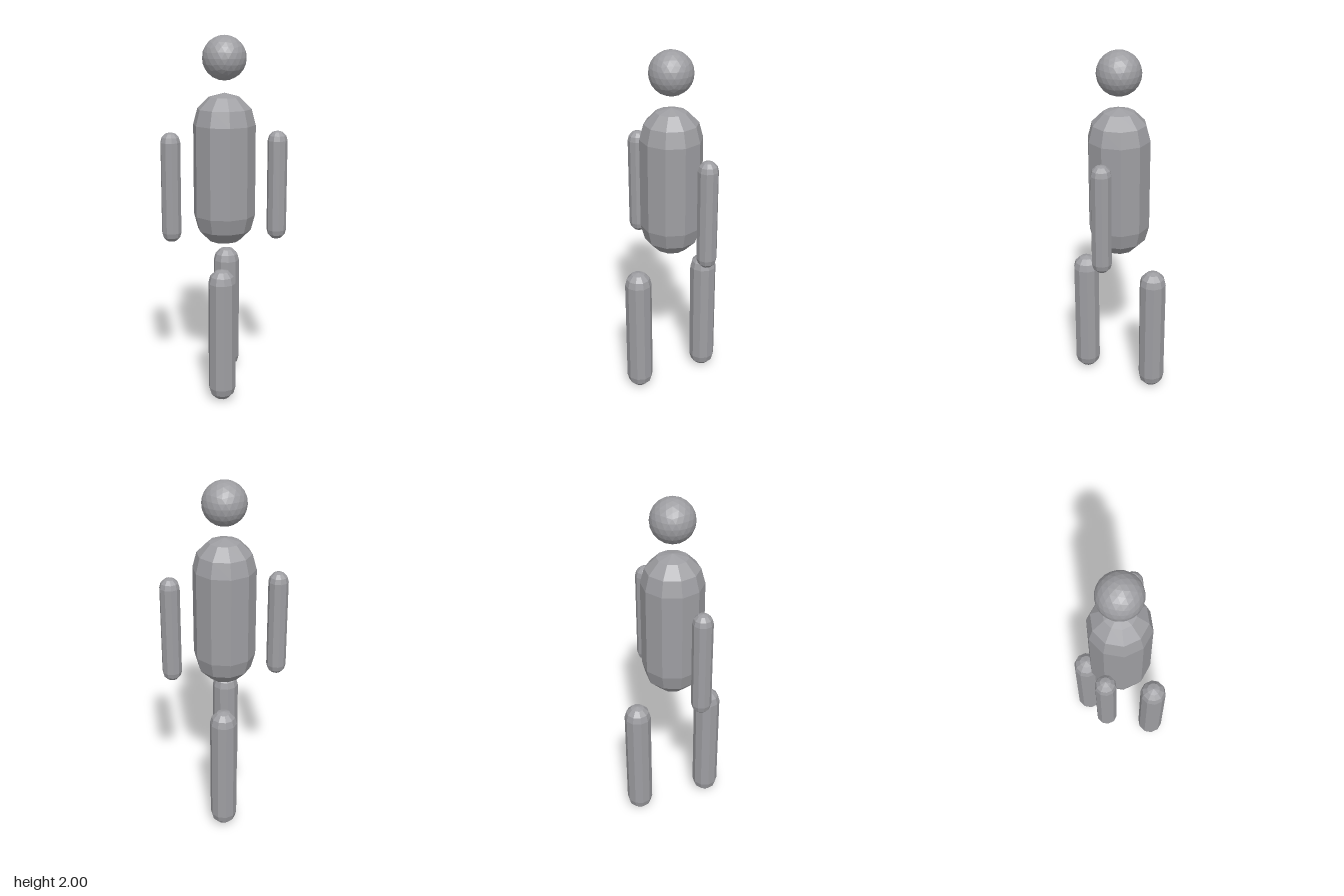
import * as THREE from 'three';

export function createModel() {
  const model = new THREE.Group();
  model.name = 'walkingFigure';
  const grey = new THREE.MeshStandardMaterial({ color: 0x9e9ea2, flatShading: true });
  grey.name = 'grey';

  // Ten-sided capsule standing between two heights
  function capsule(name, radius, bottom, top, x, z) {
    const geometry = new THREE.CapsuleGeometry(radius, top - bottom - 2 * radius, 3, 10, 1);
    const mesh = new THREE.Mesh(geometry, grey);
    mesh.name = name;
    mesh.position.set(x, (bottom + top) / 2, z);
    model.add(mesh);
  }

  // Head: faceted ball with a vertex at the crown
  const ball = new THREE.IcosahedronGeometry(0.12, 3);
  ball.rotateX(-Math.atan((1 + Math.sqrt(5)) / 2));
  const head = new THREE.Mesh(ball, grey);
  head.name = 'head';
  head.position.y = 1.88;
  model.add(head);

  capsule('torso', 0.172, 0.85, 1.695, 0, 0);

  // Limbs in mid-stride: each arm swings opposite to the leg on its side
  for (const [side, s] of [['left', 1], ['right', -1]]) {
    capsule(side + 'Arm', 0.055, 0.87, 1.485, s * 0.274, s * 0.109);
    capsule(side + 'Leg', 0.075, 0.005, 0.765, s * 0.112, s * -0.184);
  }
  return model;
}
